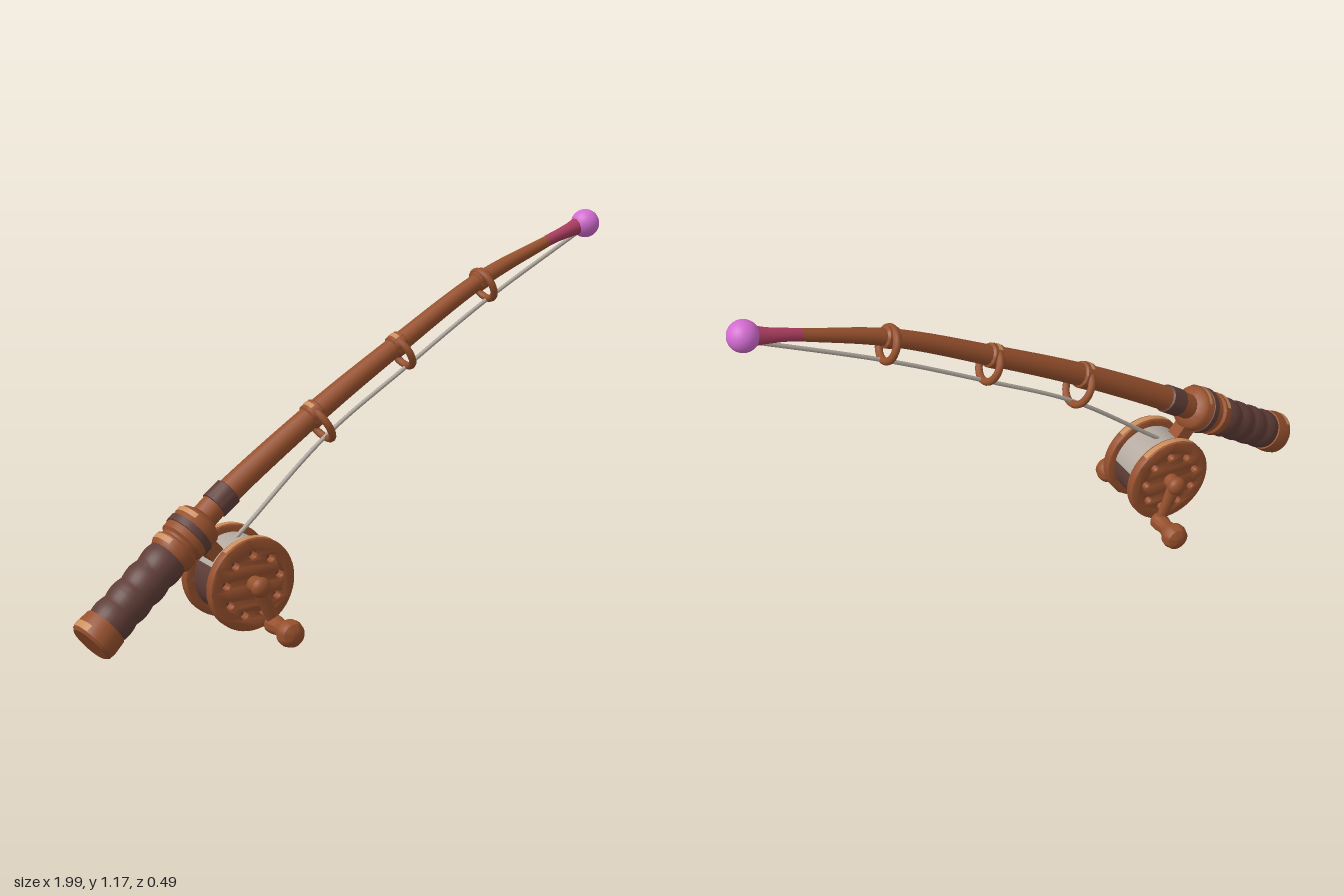
import * as THREE from 'three';
import { toCreasedNormals } from 'three/addons/utils/BufferGeometryUtils.js';

const V = (x, y, z) => new THREE.Vector3(x, y, z);
const UP = V(0, 1, 0);

function material(name, color, side = THREE.FrontSide) {
  const m = new THREE.MeshStandardMaterial({ color, side });
  m.name = name;
  return m;
}

export function createModel() {
  const root = new THREE.Group();
  root.name = 'fishingRod';
  const wood = material('brown wood', 0x96502d);
  const dark = material('dark leather', 0x5f3d37);
  const tan = material('worn tan edge', 0xc98d5c, THREE.DoubleSide);
  const grey = material('grey line', 0xb3a9a0, THREE.DoubleSide);
  const rose = material('rose tip', 0xa83c5e);
  const orchid = material('orchid ball', 0xd26cd0);

  function add(name, geo, mat, parent = root) {
    const m = new THREE.Mesh(geo, mat);
    m.name = name;
    parent.add(m);
    return m;
  }
  // group whose y axis follows dir; its +x side is the underside of the rod
  function axisGroup(name, pos, dir) {
    const g = new THREE.Group();
    g.name = name;
    g.position.copy(pos);
    g.quaternion.setFromUnitVectors(UP, dir.clone().normalize());
    root.add(g);
    return g;
  }
  const lathe = (pts) => toCreasedNormals(
    new THREE.LatheGeometry(pts.map(p => new THREE.Vector2(p[0], p[1])), 28), 0.7);
  // tube whose radius is interpolated along the path; points are [x, y, z, r]
  function taper(pts, segs, sides) {
    const curve = new THREE.CatmullRomCurve3(pts.map(p => V(p[0], p[1], p[2])));
    const geo = new THREE.TubeGeometry(curve, segs, 1, sides);
    const pos = geo.attributes.position;
    const v = V(0, 0, 0);
    for (let i = 0; i <= segs; i++) {
      const u = i / segs;
      const t = curve.getUtoTmapping(u) * (pts.length - 1);
      const k = Math.min(Math.floor(t), pts.length - 2);
      const r = THREE.MathUtils.lerp(pts[k][3], pts[k + 1][3], t - k);
      const c = curve.getPointAt(u);
      for (let j = 0; j <= sides; j++) {
        const n = i * (sides + 1) + j;
        v.fromBufferAttribute(pos, n).sub(c).multiplyScalar(r).add(c);
        pos.setXYZ(n, v.x, v.y, v.z);
      }
    }
    return geo;
  }
  // thin worn strip on the upper side of an axis group
  function wornStrip(parent, r, y, h, spread) {
    const geo = new THREE.CylinderGeometry(r, r, h, 12, 1, true, Math.PI * 1.5 - spread, spread * 2);
    add('wornStrip', geo, tan, parent).position.y = y;
  }

  // Handle
  const butt = V(-0.96, 0.096, 0.055);
  const handle = axisGroup('handle', butt, V(-0.54, 0.385, 0).sub(butt));
  add('buttCap', lathe([[0, 0], [0.062, 0], [0.071, 0.008], [0.073, 0.03], [0.069, 0.07], [0, 0.075]]), wood, handle);
  const grip = [[0, 0.06]];
  for (let i = 0; i <= 32; i++) {
    grip.push([0.062 + 0.006 * Math.abs(Math.sin(i / 32 * Math.PI * 4)), 0.062 + 0.29 * i / 32]);
  }
  grip.push([0, 0.355]);
  add('grip', lathe(grip), dark, handle);
  add('reelCollar', lathe([[0, 0.345], [0.064, 0.347], [0.072, 0.36], [0.072, 0.385], [0.064, 0.392],
    [0.064, 0.4], [0.074, 0.408], [0.075, 0.485], [0.068, 0.497], [0.045, 0.51], [0, 0.515]]), wood, handle);
  add('collarBand', lathe([[0.07, 0.43], [0.078, 0.432], [0.078, 0.455], [0.07, 0.457]]), dark, handle);
  wornStrip(handle, 0.0735, 0.37, 0.018, 0.7);
  wornStrip(handle, 0.0765, 0.478, 0.016, 0.8);
  wornStrip(handle, 0.0735, 0.02, 0.022, 0.6);

  // Rod blank, rose tip and end ball
  const path = [[-0.56, 0.37, 0, 0.043], [-0.475, 0.432, -0.005, 0.041], [-0.14, 0.64, -0.008, 0.037],
    [0.18, 0.815, -0.01, 0.032], [0.515, 0.985, -0.012, 0.027], [0.8, 1.083, -0.013, 0.018]];
  add('rod', taper(path, 60, 16), wood);
  add('rodTip', taper([[0.785, 1.079, -0.013, 0.019], [0.84, 1.095, -0.013, 0.02],
    [0.89, 1.108, -0.013, 0.024], [0.93, 1.12, -0.013, 0.03]], 12, 14), rose);
  add('endBall', new THREE.SphereGeometry(0.047, 24, 16), orchid).position.set(0.952, 1.124, -0.01);
  const ferrule = axisGroup('ferrule', V(-0.475, 0.432, -0.005), V(0.32, 0.22, -0.01));
  add('ferruleWrap', lathe([[0.035, -0.036], [0.046, -0.032], [0.046, 0.03], [0.035, 0.036]]), dark, ferrule);

  // Line guides: [path index, ring radius, drop below the rod]
  for (const [i, r, drop] of [[2, 0.061, 0.038], [3, 0.053, 0.03], [4, 0.05, 0.022]]) {
    const [x, y, z, rad] = path[i];
    const dir = V(path[i + 1][0] - path[i - 1][0], path[i + 1][1] - path[i - 1][1], 0);
    const g = axisGroup('lineGuide', V(x, y, z), dir);
    add('guideWrap', lathe([[rad - 0.006, -0.028], [rad + 0.006, -0.018], [rad + 0.006, 0.018], [rad - 0.006, 0.028]]), wood, g);
    wornStrip(g, rad + 0.0075, 0, 0.016, 0.6);
    const ring = new THREE.TorusGeometry(r, 0.012, 10, 28).rotateX(Math.PI / 2);
    add('guideRing', ring, wood, g).position.x = drop;
  }

  // Fishing line
  add('fishingLine', taper([[-0.43, 0.295, -0.005, 0.007], [-0.38, 0.335, -0.005, 0.007], [-0.095, 0.56, -0.01, 0.007],
    [0.215, 0.738, -0.01, 0.007], [0.535, 0.913, -0.012, 0.007], [0.93, 1.1, -0.012, 0.007]], 50, 8), grey);

  // Reel: spool, wound line and foot
  const reel = new THREE.Group();
  reel.name = 'reel';
  reel.position.set(-0.428, 0.174, 0.003);
  root.add(reel);
  add('spool', new THREE.CylinderGeometry(0.121, 0.121, 0.13, 40).rotateX(Math.PI / 2), dark, reel);
  add('woundLine', new THREE.CylinderGeometry(0.125, 0.125, 0.12, 32, 1, true, 1.85, 2.35).rotateX(Math.PI / 2), grey, reel);
  const foot = add('reelFoot', new THREE.BoxGeometry(0.05, 0.09, 0.05), wood, reel);
  foot.position.set(-0.11, 0.125, 0);
  foot.rotation.z = 0.7;

  // Flange disc with a ring of holes
  const disc = new THREE.Shape().absarc(0, 0, 0.142, 0, Math.PI * 2);
  for (let i = 0; i < 9; i++) {
    const a = Math.PI / 2 + i * Math.PI * 2 / 9;
    disc.holes.push(new THREE.Path().absarc(Math.cos(a) * 0.096, Math.sin(a) * 0.096, 0.018, 0, Math.PI * 2, true));
  }
  const flange = toCreasedNormals(new THREE.ExtrudeGeometry(disc, {
    depth: 0.022, bevelThickness: 0.007, bevelSize: 0.006, bevelSegments: 2, curveSegments: 24,
  }).translate(0, 0, -0.011), 0.6);

  for (const s of [1, -1]) {
    add('flange', flange, wood, reel).position.z = s * 0.075;
    add('flangeWear', new THREE.CylinderGeometry(0.149, 0.149, 0.02, 16, 1, true, Math.PI - 0.65, 1.3)
      .rotateX(Math.PI / 2), tan, reel).position.z = s * 0.075;
    // Crank hub, arm and knob
    add('crankHub', new THREE.CylinderGeometry(0.026, 0.026, 0.06, 20).rotateX(Math.PI / 2), wood, reel).position.set(0, 0.005, s * 0.105);
    const cap = add('crankHubCap', new THREE.SphereGeometry(0.032, 20, 14), wood, reel);
    cap.position.set(0, 0.005, s * 0.132);
    cap.scale.z = 0.75;
    const arm = add('crankArm', new THREE.CylinderGeometry(0.027, 0.018, 0.136, 16), wood, reel);
    arm.position.set(0.0265, -0.062, s * 0.122);
    arm.rotation.z = 0.4;
    arm.scale.z = 0.7;
    const knob = add('crankKnob', lathe([[0, 0], [0.022, 0.002], [0.03, 0.012], [0.03, 0.03], [0.025, 0.06], [0.03, 0.08],
      [0.041, 0.098], [0.043, 0.115], [0.037, 0.135], [0.02, 0.146], [0, 0.148]]), wood, reel);
    knob.position.set(0.053, -0.129, s * 0.098);
    knob.rotation.x = s * Math.PI / 2;
  }
  return root;
}
